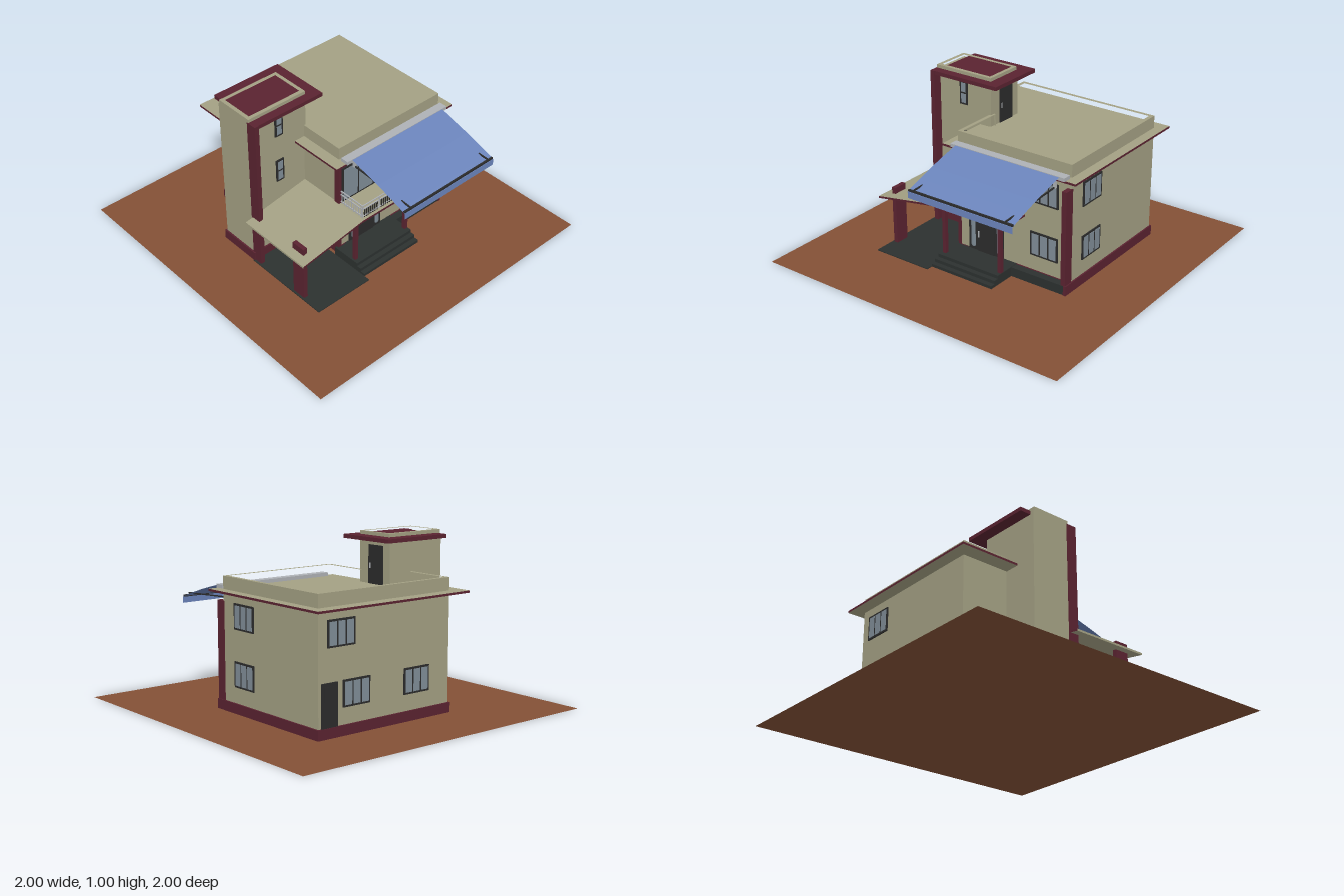
import * as THREE from 'three';

const mat = (name, color, side = THREE.FrontSide) => {
  const m = new THREE.MeshStandardMaterial({ color, side });
  m.name = name;
  return m;
};

export function createModel() {
  const plaster = mat('plaster', 0xa3a083);
  const wine = mat('wineTrim', 0x5a2330);
  const earth = mat('earth', 0x835036, THREE.DoubleSide);
  const canvas = mat('awningCanvas', 0x6a83ba, THREE.DoubleSide);
  const dark = mat('darkFrame', 0x2b2b2b);
  const slate = mat('slatePaving', 0x2c312f);
  const glass = mat('glass', 0x808d97);
  const metal = mat('paleMetal', 0xaeb1b5);

  const root = new THREE.Group();
  root.name = 'house';

  const add = (name, geometry, material, parent = root) => {
    const m = new THREE.Mesh(geometry, material);
    m.name = name;
    parent.add(m);
    return m;
  };
  // Box given by its extents
  const box = (name, material, x0, x1, y0, y1, z0, z1, parent = root) => {
    const m = add(name, new THREE.BoxGeometry(x1 - x0, y1 - y0, z1 - z0), material, parent);
    m.position.set((x0 + x1) / 2, (y0 + y1) / 2, (z0 + z1) / 2);
    return m;
  };
  // Plan outline of [x, z] points raised from y0 to y1
  const plan = (name, material, pts, y0, y1, hole) => {
    const v = (list) => list.map(([x, z]) => new THREE.Vector2(x, -z));
    const shape = new THREE.Shape(v(pts));
    if (hole) shape.holes.push(new THREE.Path(v(hole)));
    const m = add(name, new THREE.ExtrudeGeometry(shape, { depth: y1 - y0, bevelEnabled: false }), material);
    m.rotation.x = -Math.PI / 2;
    m.position.y = y0;
    return m;
  };
  const rect = (x0, x1, z0, z1) => [[x0, z0], [x1, z0], [x1, z1], [x0, z1]];

  // Ground
  add('ground', new THREE.PlaneGeometry(2, 2), earth).rotation.x = -Math.PI / 2;
  box('driveway', slate, -0.6, -0.22, 0.001, 0.006, -0.03, 0.535);

  // Main block: notched plan, plinth, overhanging roof slab and parapet
  const outline = [[-0.36, -0.585], [0.572, -0.585], [0.572, 0.258], [-0.2, 0.258], [-0.2, -0.04], [-0.36, -0.04]];
  plan('mainWalls', plaster, outline, 0.002, 0.7);
  plan('mainPlinth', wine, [[-0.37, -0.595], [0.582, -0.595], [0.582, 0.265], [-0.2, 0.265], [-0.2, -0.04], [-0.37, -0.04]], 0.002, 0.06);
  plan('roofSlab', [plaster, wine],
    [[-0.45, -0.66], [0.632, -0.66], [0.632, 0.315], [-0.268, 0.315], [-0.268, -0.04], [-0.45, -0.04 - 0.22]], 0.684, 0.697);
  plan('parapet', plaster, outline, 0.697, 0.772,
    [[-0.337, -0.562], [0.549, -0.562], [0.549, 0.235], [-0.177, 0.235], [-0.177, -0.06], [-0.337, -0.06]]);

  // Stair tower
  box('towerWalls', plaster, -0.585, -0.188, 0.002, 0.975, -0.285, -0.03);
  box('towerPlinth', wine, -0.595, -0.2, 0.002, 0.06, -0.295, -0.02);
  box('towerPillar', wine, -0.588, -0.56, 0.002, 0.978, -0.04, 0.027);
  box('towerRoofSlab', wine, -0.56, -0.11, 0.955, 0.978, -0.355, 0.024);
  plan('towerParapet', plaster, rect(-0.585, -0.188, -0.278, -0.03), 0.97, 0.998, rect(-0.562, -0.21, -0.255, -0.053));
  box('towerDoor', dark, -0.19, -0.182, 0.7, 0.925, -0.23, -0.11);
  box('towerDoorHandle', metal, -0.182, -0.178, 0.79, 0.82, -0.128, -0.122);

  // Window: dark frame with glass panes, facing +z before turning
  const makeWindow = (name, x, y, z, w, h, cols, rows, turn = 0) => {
    const g = new THREE.Group();
    g.name = name;
    box('windowFrame', dark, -w / 2, w / 2, -h / 2, h / 2, -0.005, 0.007, g);
    const b = 0.011, pw = (w - b) / cols - b, ph = (h - b) / rows - b;
    for (let i = 0; i < cols; i++) {
      for (let j = 0; j < rows; j++) {
        const px = -w / 2 + b + i * (pw + b), py = -h / 2 + b + j * (ph + b);
        box('windowPane', glass, px, px + pw, py, py + ph, 0.004, 0.009, g);
      }
    }
    g.position.set(x, y, z);
    g.rotation.y = turn;
    root.add(g);
  };
  const low = 0.228, high = 0.557;
  for (const y of [low, high]) {
    makeWindow('frontWindow', 0.398, y, 0.258, 0.185, 0.148, 3, 1);
    makeWindow('sideWindow', 0.572, y, 0.06, 0.18, 0.148, 3, 1, Math.PI / 2);
  }
  for (const y of [low, high, 0.868]) makeWindow('towerWindow', -0.383, y, -0.03, 0.055, 0.145, 1, 2);
  for (const [x, y] of [[0.42, high], [0.315, low], [-0.115, low]]) {
    makeWindow('backWindow', x, y, -0.585, 0.185, 0.148, 3, 1, Math.PI);
  }
  makeWindow('balconyGlazing', 0, 0.505, 0.258, 0.36, 0.235, 3, 1);
  box('backDoor', dark, 0.445, 0.555, 0.06, 0.3, -0.592, -0.58);
  box('backDoorPanel', glass, 0.465, 0.535, 0.2, 0.28, -0.594, -0.59).material = dark;

  // Front door with rounded sidelights
  box('frontDoor', dark, -0.123, 0.12, 0.062, 0.292, 0.25, 0.268);
  box('doorLeaf', dark, -0.06, 0.06, 0.062, 0.28, 0.26, 0.272);
  box('doorHandle', metal, -0.052, -0.046, 0.15, 0.19, 0.27, 0.277);
  for (const s of [-1, 1]) {
    const light = add('sidelight', new THREE.CapsuleGeometry(0.016, 0.17, 4, 10), glass);
    light.scale.z = 0.2;
    light.position.set(s * 0.092, 0.178, 0.268);
  }

  // Corner pillars and front terrace
  box('cornerPillar', wine, 0.546, 0.576, 0.06, 0.63, 0.25, 0.312);
  box('upperCornerStrip', wine, -0.206, -0.186, 0.06, 0.686, 0.23, 0.265);
  box('terrace', slate, 0.2, 0.57, 0.002, 0.058, 0.25, 0.311);
  box('terracePlinth', wine, 0.565, 0.582, 0.002, 0.06, 0.25, 0.315);

  // Porch: stacked steps, columns and balcony slab
  [0.495, 0.465, 0.435].forEach((z, i) =>
    box('porchStep', slate, -0.22, 0.21, 0.002, 0.02 * (i + 1), 0.25, z));
  for (const s of [-1, 1]) box('porchColumn', wine, s * 0.197 - 0.011, s * 0.197 + 0.011, 0.06, 0.38, 0.382, 0.406);
  plan('balconySlab', [plaster, wine], rect(-0.2, 0.265, 0.25, 0.46), 0.374, 0.388);

  // Balcony railing
  const railing = new THREE.Group();
  railing.name = 'balconyRailing';
  root.add(railing);
  const rx = 0.19, zf = 0.44, zb = 0.265, t = 0.003;
  for (const y of [0.4, 0.448, 0.472]) {
    box('frontRail', metal, -rx, rx, y - t, y + t, zf - t, zf + t, railing);
    for (const s of [-1, 1]) box('sideRail', metal, s * rx - t, s * rx + t, y - t, y + t, zb, zf, railing);
  }
  for (let i = 0; i <= 24; i++) {
    const x = -rx + (i / 24) * 2 * rx;
    const post = i % 8 === 0;
    box('frontBaluster', post ? metal : dark, x - t, x + t, 0.388, post ? 0.474 : 0.448, zf - t, zf + t, railing);
  }
  for (const s of [-1, 1]) {
    for (let i = 0; i < 9; i++) {
      const z = zb + 0.01 + i * 0.019;
      box('sideBaluster', metal, s * rx - 0.002, s * rx + 0.002, 0.388, i % 4 ? 0.448 : 0.474, z - 0.002, z + 0.002, railing);
    }
  }

  // Sloping carport roof and its post
  const slope = new THREE.Shape([[-0.64, 0.303], [-0.2, 0.376], [-0.2, 0.388], [-0.64, 0.315]].map(([x, y]) => new THREE.Vector2(x, y)));
  add('carportRoof', new THREE.ExtrudeGeometry(slope, { depth: 0.49, bevelEnabled: false }), [wine, plaster]).position.z = -0.03;
  box('carportPost', wine, -0.588, -0.562, 0.002, 0.365, 0.312, 0.4);

  // Retractable awning: housing, canvas with valance, folding arms
  box('awningHousing', metal, -0.2, 0.57, 0.697, 0.718, 0.275, 0.327);
  const sheet = new THREE.PlaneGeometry(0.7, 1, 1, 6);
  const path = [[0.325, 0.715], [0.43, 0.688], [0.53, 0.66], [0.63, 0.628], [0.7, 0.604], [0.735, 0.59], [0.736, 0.552]];
  const p = sheet.attributes.position;
  for (let i = 0; i < p.count; i++) {
    const [z, y] = path[Math.floor(i / 2)];
    p.setXYZ(i, p.getX(i) + 0.185, y, z);
  }
  const flat = sheet.toNonIndexed();
  flat.computeVertexNormals();
  add('awningCanvas', flat, canvas);
  box('awningFrontBar', dark, -0.163, 0.533, 0.604 - 0.014, 0.602, 0.722, 0.733);
  for (const x of [-0.12, 0.49]) {
    const arm = box('awningArm', dark, x - 0.004, x + 0.004, 0.618, 0.625, 0.295, 0.735);
    arm.rotation.x = 0.057;
    box('awningBracket', metal, x - 0.008, x + 0.008, 0.628, 0.69, 0.29, 0.305);
  }
  return root;
}
